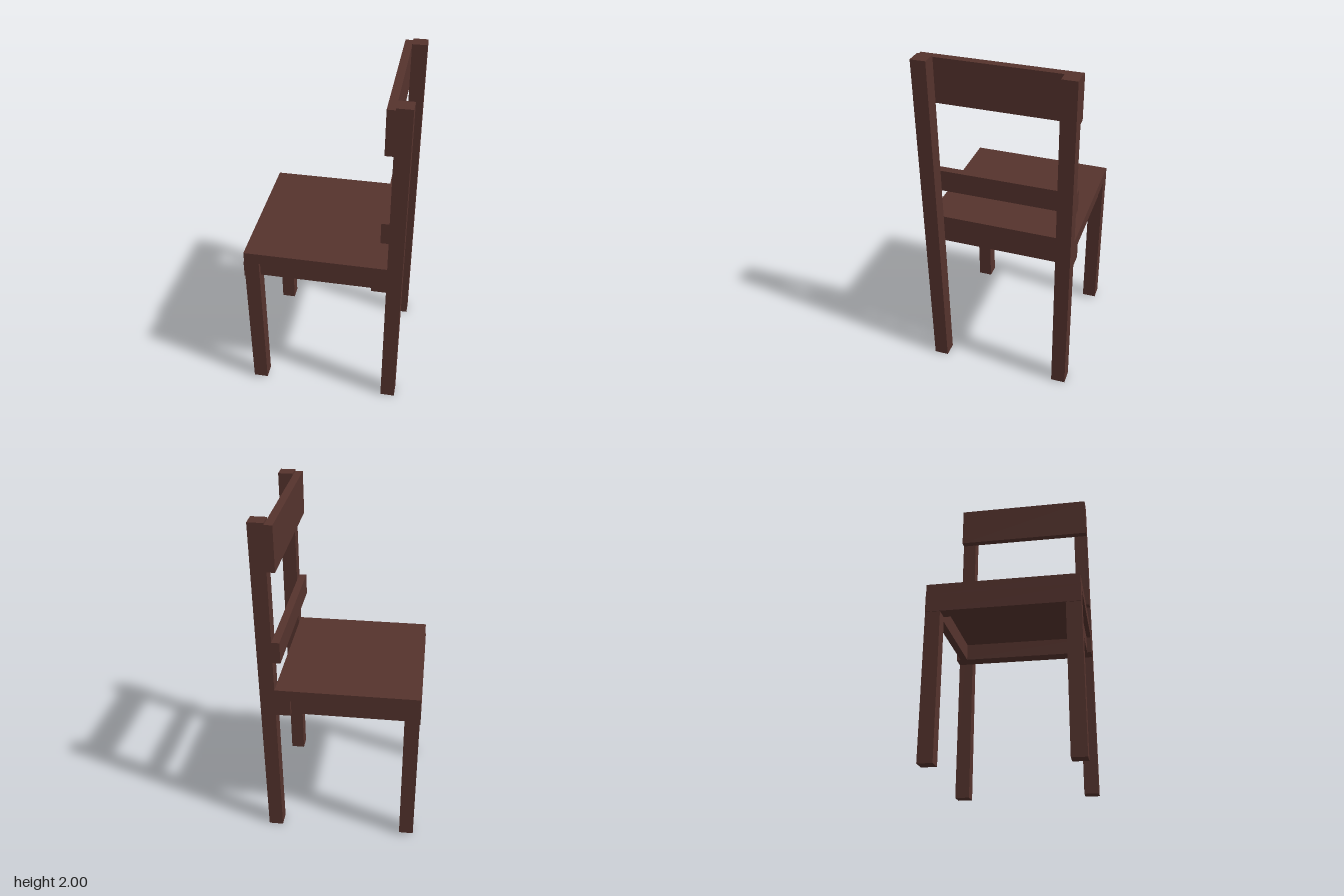
import * as THREE from 'three';

export function createModel() {
  const group = new THREE.Group();
  const wood = new THREE.MeshStandardMaterial({ color: 0x55332d });

  // Box given by its lower and upper limits on each axis
  const board = (name, [x0, x1], [y0, y1], [z0, z1]) => {
    const mesh = new THREE.Mesh(new THREE.BoxGeometry(x1 - x0, y1 - y0, z1 - z0), wood);
    mesh.position.set((x0 + x1) / 2, (y0 + y1) / 2, (z0 + z1) / 2);
    mesh.name = name;
    group.add(mesh);
  };
  // The same board on both sides of the chair
  const pair = (name, x, y, [z0, z1]) => {
    board(name + 'A', x, y, [z0, z1]);
    board(name + 'B', x, y, [-z1, -z0]);
  };

  const fullWidth = [-0.428, 0.428];
  const legDepth = [0.344, 0.428];

  // Tall back posts and short front legs
  pair('backPost', [0.365, 0.45], [0, 2], legDepth);
  pair('frontLeg', [-0.45, -0.365], [0.015, 0.95], legDepth);

  // Seat with its frame underneath; the side rails are set back
  board('seat', [-0.45, 0.365], [0.95, 1.017], fullWidth);
  board('frontRail', [-0.454, -0.37], [0.85, 0.95], fullWidth);
  board('rearRail', [0.28, 0.365], [0.85, 0.95], fullWidth);
  pair('sideRail', [-0.37, 0.28], [0.85, 0.95], [0.36, 0.402]);

  // Slats fixed to the front of the back posts
  board('lowerSlat', [0.321, 0.365], [1.197, 1.325], fullWidth);
  board('upperSlat', [0.321, 0.365], [1.737, 1.99], fullWidth);

  return group;
}
